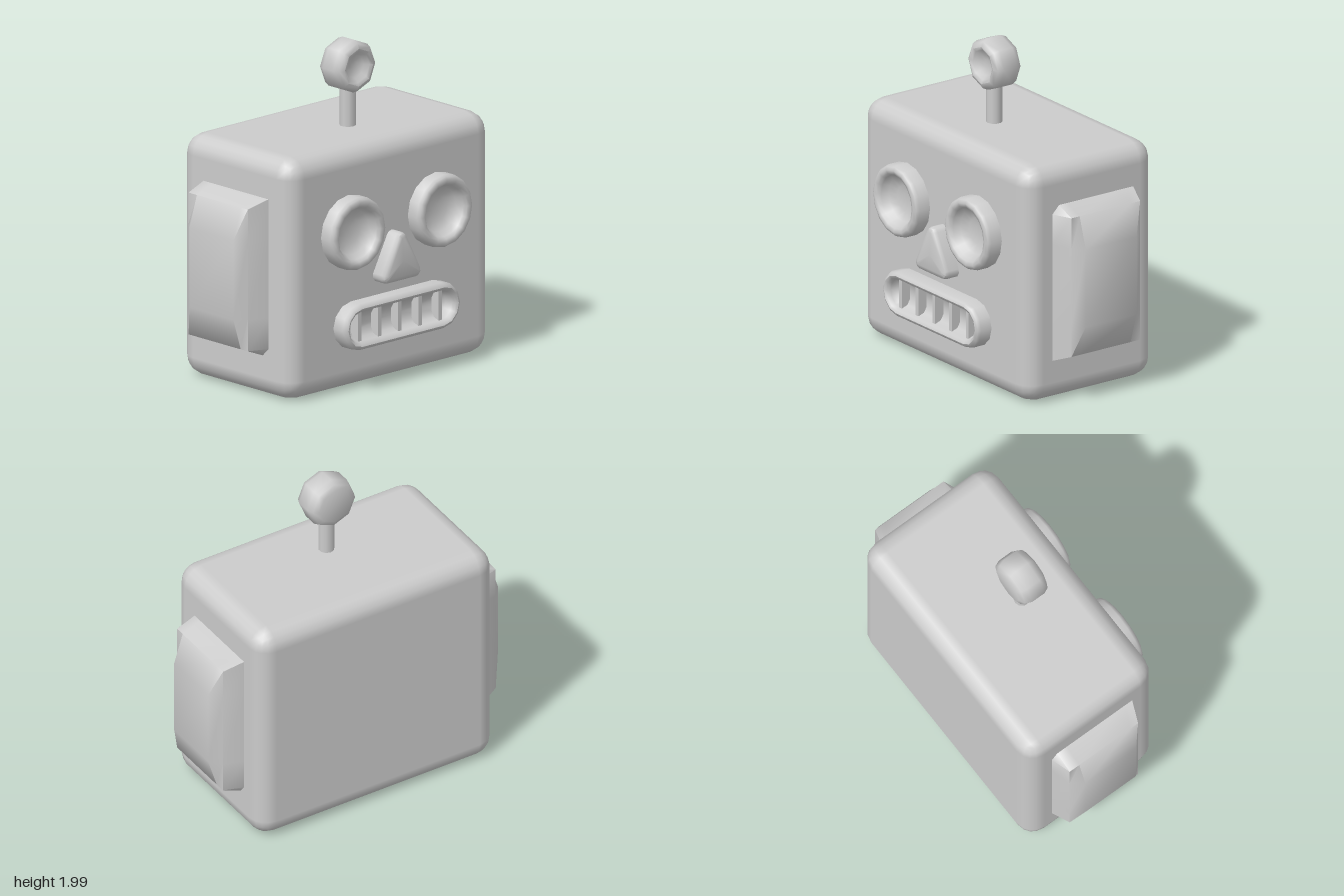
import * as THREE from 'three';
import { toCreasedNormals } from 'three/addons/utils/BufferGeometryUtils.js';
import { RoundedBoxGeometry } from 'three/addons/geometries/RoundedBoxGeometry.js';

const material = new THREE.MeshStandardMaterial({ color: 0xcccccc });

function addMesh(parent, name, geometry, x = 0, y = 0, z = 0) {
  const mesh = new THREE.Mesh(geometry, material);
  mesh.name = name;
  mesh.position.set(x, y, z);
  parent.add(mesh);
  return mesh;
}

// Directions around one rounded corner: centre (x, y), angles in degrees
function arc(x, y, from, to, steps, closed = false) {
  return Array.from({ length: closed ? steps : steps + 1 }, (_, i) => {
    const a = THREE.MathUtils.degToRad(from + ((to - from) * i) / steps);
    return { x, y, dx: Math.cos(a), dy: Math.sin(a) };
  });
}

// Joins offset copies of an outline along z; profile lists [radius, z] from back to front
function loftForward(outline, profile, crease = 0.95) {
  const n = outline.length;
  const positions = [];
  const index = [];
  for (const [r, z] of profile)
    for (const p of outline) positions.push(p.x + p.dx * r, p.y + p.dy * r, z);
  for (let k = 0; k < profile.length - 1; k++) {
    for (let i = 0; i < n; i++) {
      const a = k * n + i;
      const b = k * n + ((i + 1) % n);
      index.push(a, b, b + n, a, b + n, a + n);
    }
  }
  // Fans closing the back and the front
  const cx = outline.reduce((s, p) => s + p.x, 0) / n;
  const cy = outline.reduce((s, p) => s + p.y, 0) / n;
  const back = positions.length / 3;
  const last = profile.length - 1;
  positions.push(cx, cy, profile[0][1], cx, cy, profile[last][1]);
  for (let i = 0; i < n; i++) {
    const j = (i + 1) % n;
    index.push(back, j, i, back + 1, last * n + i, last * n + j);
  }
  const geometry = new THREE.BufferGeometry();
  geometry.setAttribute('position', new THREE.Float32BufferAttribute(positions, 3));
  geometry.setIndex(index);
  return toCreasedNormals(geometry, crease);
}

// Pillow-shaped side panel; side is +1 or -1
function earGeometry(side) {
  const zs = [-0.35, -0.31, -0.24, 0.13, 0.19, 0.24];
  const ys = [0.26, 0.31, 0.5, 0.98, 1.17, 1.22];
  const heights = [0, 0.68, 1, 1, 0.68, 0];
  const geometry = new THREE.PlaneGeometry(1, 1, 5, 5);
  const p = geometry.attributes.position;
  for (let i = 0; i < p.count; i++) {
    const col = Math.round((p.getX(i) + 0.5) * 5);
    const row = Math.round((p.getY(i) + 0.5) * 5);
    const h = Math.min(heights[col], heights[row]);
    p.setXYZ(i, side * (0.815 + 0.185 * h), ys[row], zs[side > 0 ? 5 - col : col]);
  }
  return toCreasedNormals(geometry, 1.0);
}

export function createModel() {
  const model = new THREE.Group();
  model.name = 'robotHead';

  // Head block
  addMesh(model, 'head', new RoundedBoxGeometry(1.64, 1.465, 0.94, 2, 0.12), 0, 0.7375, -0.05);

  // Ears and hollow eye rings on both sides
  for (const side of [1, -1]) {
    const label = side > 0 ? 'left' : 'right';
    addMesh(model, label + 'Ear', earGeometry(side));
    const eye = loftForward(arc(0, 0, 0, 360, 16, true), [
      [0.22, 0.4], [0.22, 0.495], [0.21, 0.513], [0.19, 0.522], [0.168, 0.515],
      [0.156, 0.495], [0.135, 0.455], [0.08, 0.432], [0.03, 0.426],
    ]);
    addMesh(model, label + 'Eye', eye, side * 0.35, 0.97, 0);
  }

  // Nose: rounded triangle
  const noseOutline = [
    ...arc(0.11, 0.66, -90, 22, 3),
    ...arc(0, 0.87, 22, 158, 4),
    ...arc(-0.11, 0.66, 158, 270, 3),
  ];
  addMesh(model, 'nose', loftForward(noseOutline, [
    [0.042, 0.4], [0.042, 0.49], [0.034, 0.512], [0.01, 0.52],
  ]));

  // Mouth: stadium rim with a shallow recess
  const mouth = new THREE.Group();
  mouth.name = 'mouth';
  model.add(mouth);
  const mouthOutline = [...arc(0.33, 0.4, -90, 90, 6), ...arc(-0.33, 0.4, 90, 270, 6)];
  addMesh(mouth, 'mouthRim', loftForward(mouthOutline, [
    [0.14, 0.4], [0.14, 0.495], [0.132, 0.513], [0.115, 0.522], [0.098, 0.513],
    [0.089, 0.49], [0.075, 0.45], [0.04, 0.43],
  ]));
  // Teeth bars
  for (let i = -2; i <= 2; i++)
    addMesh(mouth, 'toothBar', new THREE.BoxGeometry(0.028, 0.18, 0.07), i * 0.163, 0.4, 0.455);

  // Antenna stem and knob with a dished front
  const antenna = new THREE.Group();
  antenna.name = 'antenna';
  antenna.position.z = 0.05;
  model.add(antenna);
  addMesh(antenna, 'antennaStem', new THREE.CylinderGeometry(0.048, 0.048, 0.3, 10), 0, 1.59, 0);
  addMesh(antenna, 'antennaKnob', loftForward(arc(0, 0, 0, 360, 8, true), [
    [0.11, -0.1], [0.145, -0.083], [0.161, -0.045], [0.161, 0.045],
    [0.145, 0.08], [0.115, 0.095], [0.094, 0.085], [0.07, 0.06], [0.03, 0.048],
  ]), 0, 1.835, 0);

  return model;
}
